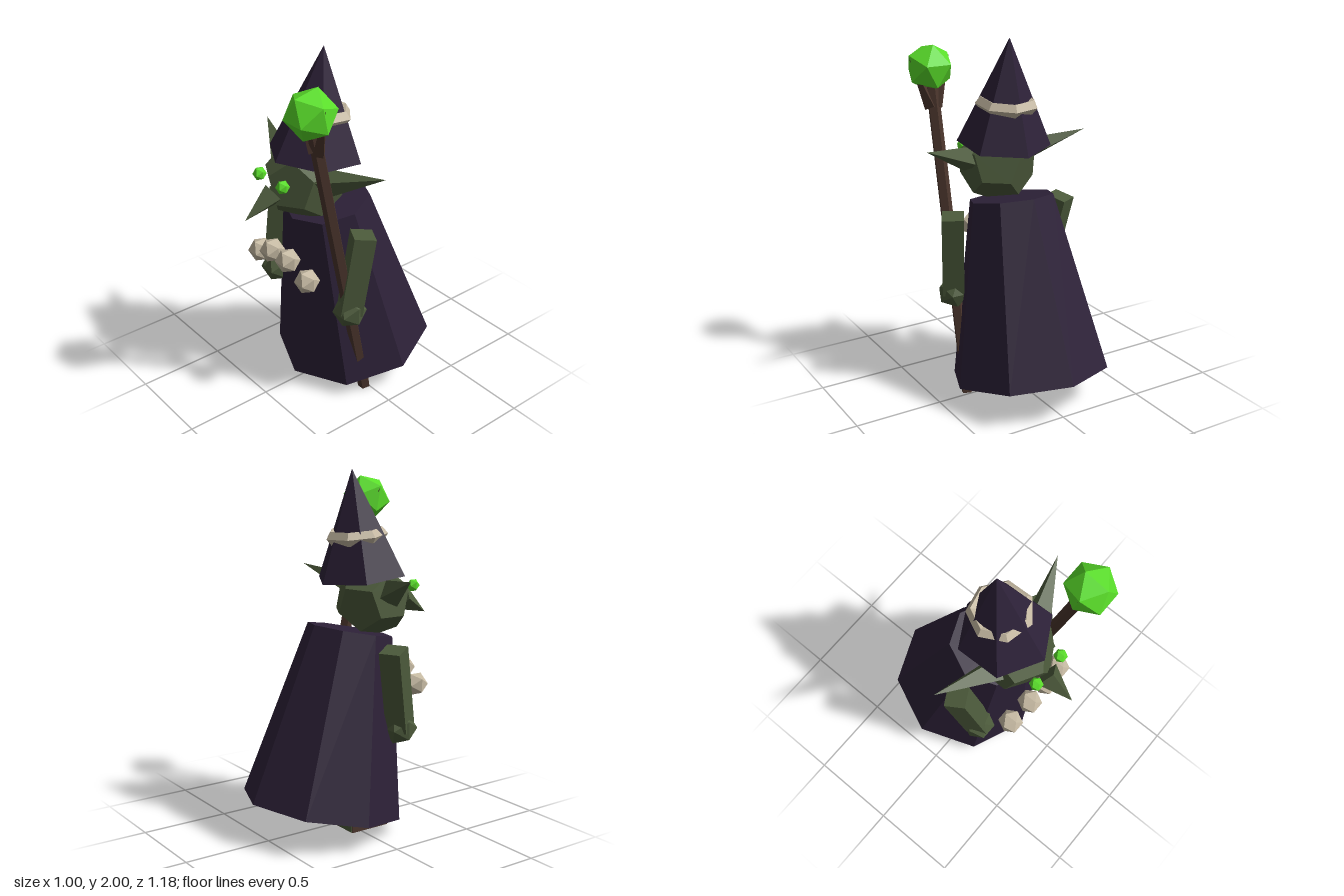
import * as THREE from 'three';

const mat = (name, color) => {
  const m = new THREE.MeshStandardMaterial({ color });
  m.name = name;
  return m;
};

export function createModel() {
  const root = new THREE.Group();
  root.name = 'goblinMage';
  const cloth = mat('dark purple cloth', 0x2d2138);
  const skin = mat('green skin', 0x4c5a3b);
  const wood = mat('brown wood', 0x4a352c);
  const bone = mat('pale bone', 0xc6baa3);
  const glow = mat('bright green crystal', 0x5ade2a);

  // Adds a faceted mesh
  const add = (name, geo, material, x = 0, y = 0, z = 0) => {
    const g = geo.index ? geo.toNonIndexed() : geo;
    g.computeVertexNormals();
    const mesh = new THREE.Mesh(g, material);
    mesh.name = name;
    mesh.position.set(x, y, z);
    root.add(mesh);
    return mesh;
  };
  // Stretches a mesh's y axis from point a to point b, with a twist about it
  const UP = new THREE.Vector3(0, 1, 0);
  const between = (name, makeGeo, material, a, b, twist = 0) => {
    const p = new THREE.Vector3(...a), q = new THREE.Vector3(...b);
    const dir = q.clone().sub(p);
    const mesh = add(name, makeGeo(dir.length()), material);
    mesh.position.copy(p).add(q).multiplyScalar(0.5);
    mesh.quaternion.setFromUnitVectors(UP, dir.normalize());
    mesh.rotateY(twist);
    return mesh;
  };
  const ball = (name, r, material, x, y, z) => {
    const m = add(name, new THREE.IcosahedronGeometry(r), material, x, y, z);
    m.rotation.y = Math.PI / 2;
    return m;
  };

  // Robe, leaning forward
  add('robe', new THREE.CylinderGeometry(0.24, 0.45, 1, 8), cloth, 0, 0.633, -0.053).rotation.x = 0.2;

  // Pointed hat with a bone band
  add('hat', new THREE.ConeGeometry(0.26, 0.59, 6), cloth, 0, 1.706, 0.092).rotation.x = -0.11;
  const band = new THREE.TorusGeometry(0.135, 0.04, 5, 7);
  band.rotateX(Math.PI / 2).rotateY(Math.PI);
  add('hatBand', band, bone, 0, 1.64, 0.088).rotation.x = -0.1;

  // Head and nose
  add('head', new THREE.DodecahedronGeometry(0.22), skin, 0, 1.285, 0.2).rotation.z = 0.42;
  between('nose', h => new THREE.ConeGeometry(0.075, h, 4), skin, [0, 1.27, 0.41], [0, 1.17, 0.585]);

  // Paired features
  for (const s of [-1, 1]) {
    const side = s > 0 ? 'left' : 'right';
    between(side + 'Ear', h => new THREE.ConeGeometry(0.08, h, 4), skin,
      [s * 0.17, 1.33, 0.2], [s * 0.5, 1.44, 0.07]);
    ball(side + 'Eye', 0.038, glow, s * 0.1, 1.35, 0.413);

    // Arm and hand
    const hand = s > 0 ? [0.32, 0.59, 0.145] : [-0.29, 0.6, 0.18];
    between(side + 'Arm', h => new THREE.BoxGeometry(0.12, h, 0.12), skin,
      hand, [s * 0.35, 1.06, 0.08], -s * 0.5);
    ball(side + 'Hand', 0.095, skin, ...hand);

    // Foot with a bare heel
    add(side + 'Foot', new THREE.BoxGeometry(0.155, 0.2, 0.24), wood, s * 0.153, 0.13, 0.02);
    add(side + 'Heel', new THREE.BoxGeometry(0.15, 0.19, 0.008), skin, s * 0.153, 0.13, -0.102);

    // Staff prong gripping the orb
    between(side + 'StaffProng', h => new THREE.ConeGeometry(0.04, h, 4), wood,
      [0.31 + s * 0.015, 1.61, 0.355], [0.31 + s * 0.12, 1.88, 0.395]);
  }

  // Necklace beads
  for (const [x, y, z] of [[-0.21, 0.81, 0.35], [-0.07, 0.88, 0.37], [0.07, 0.88, 0.37], [0.21, 0.81, 0.35]])
    ball('necklaceBead', 0.07, bone, x, y, z);

  // Staff and orb
  between('staff', h => new THREE.CylinderGeometry(0.036, 0.036, h, 5), wood,
    [0.31, 0.01, 0.02], [0.31, 1.72, 0.37], Math.PI);
  ball('staffOrb', 0.137, glow, 0.31, 1.82, 0.39).rotation.set(0.1, Math.PI / 2, 0.1);

  return root;
}
